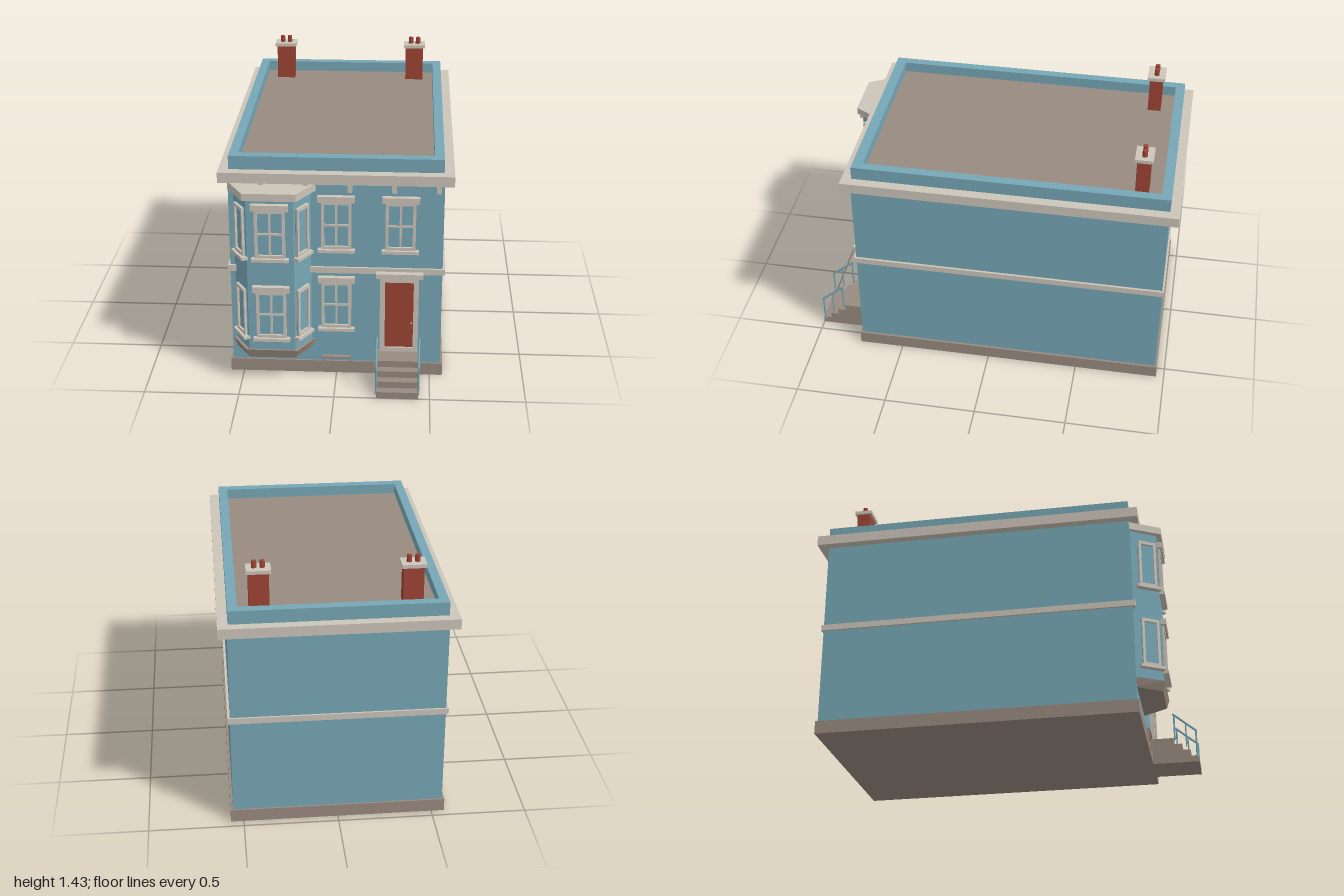
import * as THREE from 'three';

const material = (name, color) => Object.assign(new THREE.MeshStandardMaterial({ color }), { name });

export function createModel() {
  const house = new THREE.Group();
  house.name = 'townhouse';
  const blue = material('blue paint', 0x76a7b5);
  const trim = material('pale trim', 0xcbc4b9);
  const stone = material('brown stone', 0x988a7f);
  const red = material('brick red', 0x9e4434);

  const add = (name, geometry, mat, parent = house) => {
    const mesh = new THREE.Mesh(geometry, mat);
    mesh.name = name;
    parent.add(mesh);
    return mesh;
  };
  // Box given by its limits on each axis
  const box = (name, mat, x0, x1, y0, y1, z0, z1, parent) => {
    const g = new THREE.BoxGeometry(x1 - x0, y1 - y0, z1 - z0);
    g.translate((x0 + x1) / 2, (y0 + y1) / 2, (z0 + z1) / 2);
    return add(name, g, mat, parent);
  };

  // Main block, plinth, belt course and cornice
  box('walls', blue, -0.558, 0.555, 0.02, 1.15, -0.947, 0.735);
  box('plinth', stone, -0.57, 0.568, 0, 0.07, -0.957, 0.745);
  box('beltCourse', trim, -0.57, 0.568, 0.597, 0.63, -0.957, 0.747);
  box('cornice', trim, -0.605, 0.603, 1.11, 1.165, -1, 0.78);
  for (let i = 0; i < 5; i++) {
    const x = 0.525 - i * 0.227;
    box('corniceBracket', trim, x - 0.012, x + 0.012, 1.067, 1.11, 0.73, 0.775);
  }

  // Parapet ring around the flat roof
  const ring = (x0, x1, z0, z1) => [[x0, -z1], [x1, -z1], [x1, -z0], [x0, -z0]].map(p => new THREE.Vector2(...p));
  const outline = new THREE.Shape(ring(-0.553, 0.55, -0.95, 0.727));
  outline.holes.push(new THREE.Path(ring(-0.505, 0.5, -0.9, 0.672)));
  const parapet = new THREE.ExtrudeGeometry(outline, { depth: 0.075, bevelEnabled: false });
  add('parapet', parapet.rotateX(-Math.PI / 2).translate(0, 1.162, 0), blue);
  box('roof', stone, -0.51, 0.505, 1.15, 1.18, -0.91, 0.68);

  // Chimneys with cap and two pots
  for (const cx of [-0.388, 0.388]) {
    const chimney = new THREE.Group();
    chimney.name = 'chimney';
    chimney.position.set(cx, 0, -0.793);
    house.add(chimney);
    box('stack', red, -0.052, 0.052, 1.17, 1.378, -0.036, 0.036, chimney);
    box('cap', trim, -0.063, 0.063, 1.378, 1.397, -0.048, 0.048, chimney);
    for (const s of [-1, 1]) {
      add('pot', new THREE.CylinderGeometry(0.013, 0.014, 0.04, 12), red, chimney)
        .position.set(s * 0.021, 1.414, 0);
    }
  }

  // Half-hexagon slab lofted from [y, half width at wall, half width in front, front z]
  const BAY_X = -0.332;
  const baySlab = (name, mat, sections) => {
    const rings = sections.map(([y, a, b, z]) =>
      [[-a, 0.73], [-b, z], [b, z], [a, 0.73]].map(([x, d]) => [x + BAY_X, y, d]));
    const [lo, hi] = rings;
    const v = [];
    const quad = (a, b, c, d) => v.push(...a, ...b, ...c, ...a, ...c, ...d);
    for (let i = 0; i < 4; i++) {
      const j = (i + 1) % 4;
      quad(lo[i], lo[j], hi[j], hi[i]);
    }
    quad(...hi);
    quad(lo[3], lo[2], lo[1], lo[0]);
    const g = new THREE.BufferGeometry();
    g.setAttribute('position', new THREE.Float32BufferAttribute(v, 3));
    g.computeVertexNormals();
    return add(name, g, mat);
  };
  baySlab('bayBase', stone, [[0.15, 0.205, 0.12, 0.862], [0.2, 0.222, 0.137, 0.876]]);
  baySlab('bayWalls', blue, [[0.2, 0.203, 0.122, 0.865], [1.06, 0.203, 0.122, 0.865]]);
  baySlab('bayCrown', trim, [[1.06, 0.23, 0.137, 0.893], [1.1, 0.23, 0.137, 0.893]]);

  // Sash window facing +z, standing on its sill; narrow ones have no lintel or cross bars
  const makeWindow = (x, y, z, angle, width, full) => {
    const w = new THREE.Group();
    w.name = 'window';
    w.position.set(x, y, z);
    w.rotation.y = angle;
    house.add(w);
    const h = 0.27, a = width / 2, t = full ? 0.016 : 0.014;
    box('glass', blue, -a, a, 0, h, -0.005, 0.004, w);
    for (const s of [-1, 1]) {
      const mid = s * (a - t / 2);
      box('jamb', trim, mid - t / 2, mid + t / 2, 0, h, -0.005, 0.016, w);
    }
    box('headRail', trim, -a + t, a - t, h - 0.018, h, -0.005, 0.016, w);
    box('bottomRail', trim, -a + t, a - t, 0, 0.018, -0.005, 0.016, w);
    box('sill', trim, -a - 0.018, a + 0.018, -0.015, 0.002, -0.005, 0.03, w);
    if (full) {
      box('lintel', trim, -a - 0.018, a + 0.018, h - 0.002, h + 0.031, -0.005, 0.028, w);
      box('verticalBar', trim, -0.006, 0.006, 0.018, h - 0.018, 0, 0.01, w);
      box('crossBar', trim, -a + t, a - t, h / 2 - 0.006, h / 2 + 0.006, 0, 0.0095, w);
    }
  };
  const bayAngle = Math.atan2(0.135, 0.081);
  for (const y of [0.275, 0.735]) {
    makeWindow(BAY_X, y, 0.865, 0, 0.157, true);
    makeWindow(0, y, 0.735, 0, 0.157, true);
    for (const s of [-1, 1]) makeWindow(BAY_X + s * 0.155, y, 0.81, s * bayAngle, 0.1, false);
  }
  makeWindow(0.333, 0.735, 0.735, 0, 0.157, true);

  // Front door
  for (const x of [0.23, 0.407]) box('doorJamb', trim, x, x + 0.027, 0.145, 0.59, 0.73, 0.76);
  box('doorHead', trim, 0.257, 0.407, 0.555, 0.59, 0.73, 0.76);
  box('doorThreshold', trim, 0.257, 0.407, 0.145, 0.17, 0.73, 0.76);
  box('doorLintel', trim, 0.208, 0.455, 0.585, 0.612, 0.73, 0.78);
  box('door', red, 0.257, 0.407, 0.17, 0.555, 0.73, 0.75);
  add('doorKnob', new THREE.SphereGeometry(0.005, 10, 8), trim).position.set(0.398, 0.314, 0.753);

  // Front steps
  const fronts = [1, 0.955, 0.91, 0.865];
  fronts.forEach((z, i) => {
    box('step', stone, 0.22, 0.44, i * 0.0365, (i + 1) * 0.0365, 0.74, z);
  });

  // Handrails
  const bar = (name, from, to, r) => {
    const a = new THREE.Vector3(...from), b = new THREE.Vector3(...to);
    add(name, new THREE.TubeGeometry(new THREE.LineCurve3(a, b), 1, r, 8), blue);
  };
  for (const x of [0.219, 0.441]) {
    bar('lowerPost', [x, 0.02, 0.99], [x, 0.182, 0.99], 0.005);
    bar('middlePost', [x, 0.09, 0.935], [x, 0.23, 0.935], 0.004);
    bar('upperPost', [x, 0.13, 0.872], [x, 0.285, 0.872], 0.005);
    bar('handrail', [x, 0.18, 0.994], [x, 0.288, 0.866], 0.006);
  }

  // Basement window surround
  for (const x of [-0.076, 0.066]) box('basementJamb', stone, x, x + 0.01, 0.03, 0.102, 0.73, 0.757);
  box('basementHead', stone, -0.076, 0.076, 0.092, 0.102, 0.73, 0.758);

  return house;
}
